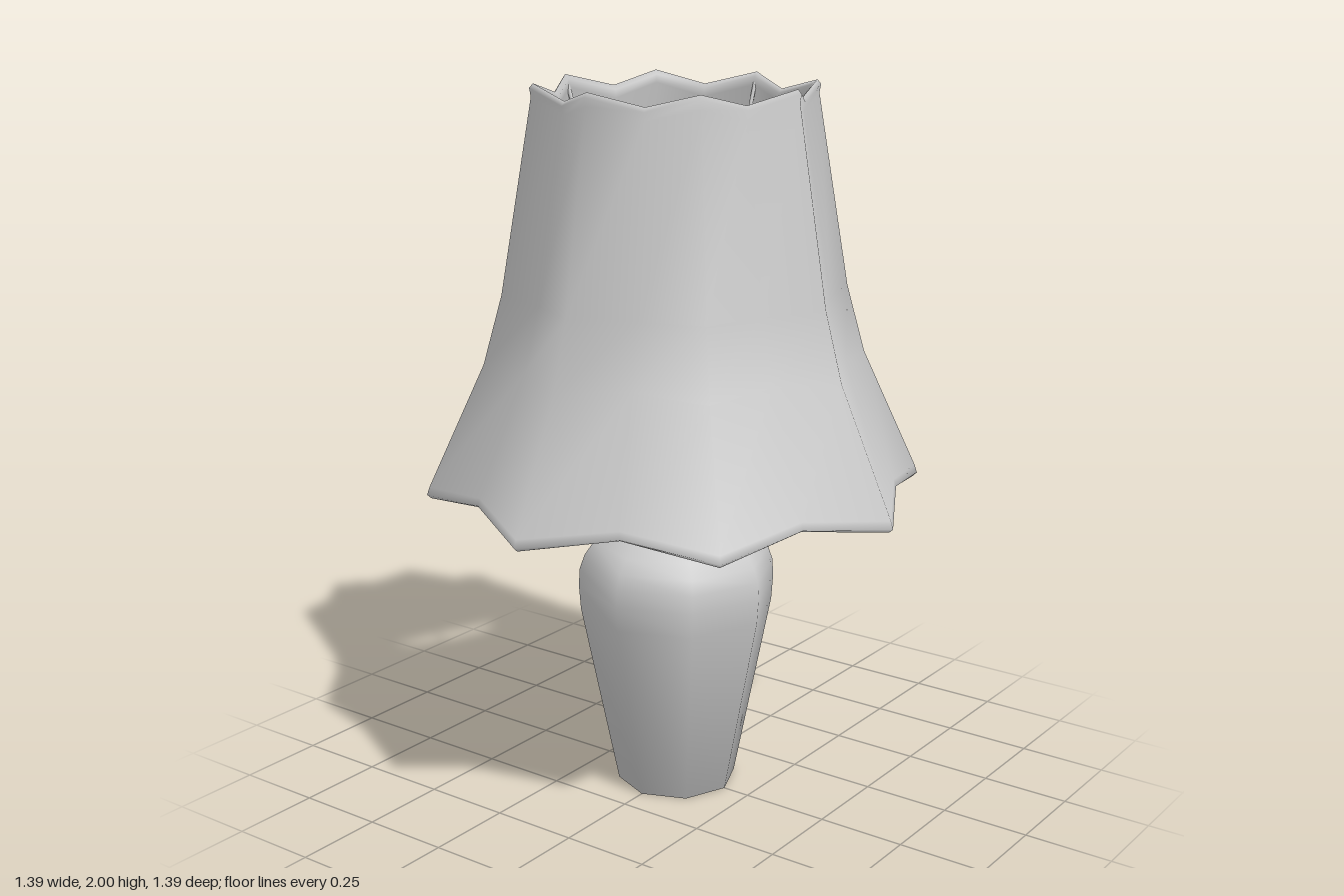
import * as THREE from 'three';

const material = new THREE.MeshStandardMaterial({ color: 0xcccccc });

function addMesh(parent, name, geometry) {
  const mesh = new THREE.Mesh(geometry, material);
  mesh.name = name;
  parent.add(mesh);
  return mesh;
}

// Eight-sided turned form from [radius, y] pairs, listed bottom to top
function turned(profile) {
  return new THREE.LatheGeometry(profile.map(([r, y]) => new THREE.Vector2(r, y)), 8);
}

// Scalloped shell: closed [radius, y, lift] section swept round 16 points;
// every second point is drawn inwards and shifted vertically by lift
function scallopedShell(section, sides = 16) {
  const positions = [], indices = [], n = section.length;
  for (let i = 0; i < sides; i++) {
    const angle = (i / sides) * Math.PI * 2;
    const dip = i % 2;
    for (const [r, y, lift] of section) {
      const radius = r * (1 - 0.115 * dip);
      positions.push(radius * Math.sin(angle), y + lift * dip, radius * Math.cos(angle));
    }
    for (let j = 0; j < n; j++) {
      const next = (i + 1) % sides, k = (j + 1) % n;
      const a = i * n + j, b = next * n + j, c = next * n + k, d = i * n + k;
      indices.push(a, b, c, a, c, d);
    }
  }
  const geometry = new THREE.BufferGeometry();
  geometry.setAttribute('position', new THREE.Float32BufferAttribute(positions, 3));
  geometry.setIndex(indices);
  geometry.computeVertexNormals();
  return geometry;
}

// Thin straight rod between two points
function rod(from, to, radius) {
  const span = new THREE.Vector3().subVectors(to, from);
  const geometry = new THREE.CylinderGeometry(radius, radius, span.length(), 6);
  geometry.applyQuaternion(new THREE.Quaternion().setFromUnitVectors(
    new THREE.Vector3(0, 1, 0), span.clone().normalize()));
  const mid = from.clone().add(to).multiplyScalar(0.5);
  return geometry.translate(mid.x, mid.y, mid.z);
}

export function createModel() {
  const lamp = new THREE.Group();
  lamp.name = 'tableLamp';

  // Vase-shaped base
  addMesh(lamp, 'base', turned([
    [0, 0], [0.17, 0], [0.275, 0.53], [0.28, 0.6], [0.277, 0.65], [0.263, 0.69],
    [0.235, 0.73], [0.17, 0.773], [0.085, 0.81], [0, 0.82],
  ]));

  // Neck tapering up to the socket
  addMesh(lamp, 'neck', turned([
    [0.08, 0.8], [0.08, 0.9], [0.062, 1.08], [0.05, 1.24], [0, 1.24],
  ]));

  // Bulb
  addMesh(lamp, 'bulb', turned([
    [0.045, 1.22], [0.06, 1.28], [0.065, 1.32], [0.056, 1.36], [0.032, 1.385], [0, 1.395],
  ]));

  // Flared shade with rounded rims: up the outside, then down the inside
  addMesh(lamp, 'shade', scallopedShell([
    [0.684, 0.878, 0.04], [0.695, 0.888, 0.036], [0.688, 0.91, 0.034],
    [0.53, 1.25, 0.015], [0.477, 1.44, 0],
    [0.387, 1.965, -0.035], [0.391, 1.988, -0.035], [0.381, 2, -0.035],
    [0.369, 1.988, -0.035], [0.369, 1.965, -0.035],
    [0.459, 1.44, 0], [0.512, 1.25, 0.015],
    [0.668, 0.906, 0.034], [0.672, 0.886, 0.036],
  ]));

  // Four rods carrying the shade
  const frame = new THREE.Group();
  frame.name = 'shadeFrame';
  lamp.add(frame);
  const rodGeometry = rod(
    new THREE.Vector3(0.058, 1.05, 0), new THREE.Vector3(0.372, 1.97, 0), 0.006);
  for (let i = 0; i < 4; i++) {
    addMesh(frame, 'shadeRod', rodGeometry).rotation.y = (i * Math.PI) / 2;
  }

  return lamp;
}
